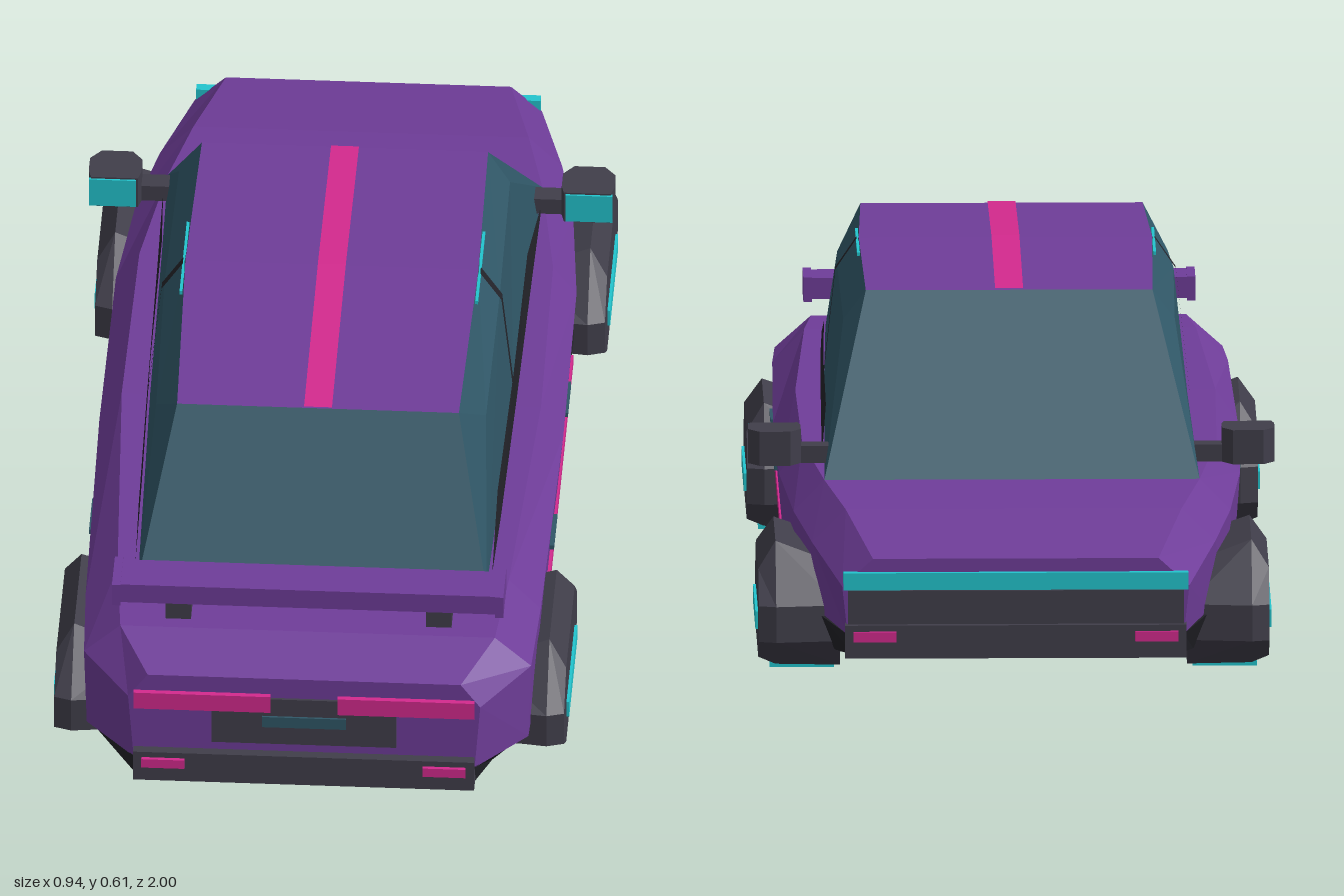
import * as THREE from 'three';

const mat = (name, color) => Object.assign(new THREE.MeshStandardMaterial({ color }), { name });

// Flat-faced geometry from a list of triangle corner points
function fromPoints(points) {
  const g = new THREE.BufferGeometry();
  g.setAttribute('position', new THREE.Float32BufferAttribute(points.flat(), 3));
  g.computeVertexNormals();
  return g;
}

// Quads between two matching rows of points
function sheet(a, b) {
  const out = [];
  for (let i = 0; i < a.length - 1; i++) out.push(a[i], a[i + 1], b[i + 1], a[i], b[i + 1], b[i]);
  return out;
}

// Closed hull through rings of points, capped at both ends
function loft(rings) {
  const out = [];
  for (let k = 0; k < rings.length - 1; k++) {
    out.push(...sheet([...rings[k], rings[k][0]], [...rings[k + 1], rings[k + 1][0]]));
  }
  const first = rings[0], last = rings[rings.length - 1];
  for (let i = 1; i < first.length - 1; i++) {
    out.push(first[0], first[i + 1], first[i], last[0], last[i], last[i + 1]);
  }
  return fromPoints(out);
}

const flip = ([x, y, z]) => [-x, y, z];

// Symmetric ring at depth z from its +x half, listed bottom to top
function ring(z, half) {
  const pts = half.map(([x, y]) => [x, y, z]);
  return [...pts, ...pts.map(flip).reverse()];
}

// Box given by its limits
function box(x0, x1, y0, y1, z0, z1) {
  return new THREE.BoxGeometry(x1 - x0, y1 - y0, z1 - z0)
    .translate((x0 + x1) / 2, (y0 + y1) / 2, (z0 + z1) / 2);
}

// Copy reflected in x with the corner order restored
function mirrored(geo) {
  const g = geo.index ? geo.toNonIndexed() : geo;
  const p = g.attributes.position, pts = [];
  for (let i = 0; i < p.count; i += 3) {
    for (const j of [i, i + 2, i + 1]) pts.push([-p.getX(j), p.getY(j), p.getZ(j)]);
  }
  return fromPoints(pts);
}

export function createModel() {
  const model = new THREE.Group();
  model.name = 'car';
  const paint = mat('purple paint', 0x6f3d99);
  const glass = mat('teal glass', 0x305767);
  const grey = mat('charcoal', 0x403e4a);
  const black = mat('black', 0x222228);
  const pink = mat('pink', 0xd42a8e);
  const cyan = mat('cyan', 0x22c5ce);

  const add = (name, geo, material) => {
    const m = new THREE.Mesh(geo, material);
    m.name = name;
    model.add(m);
  };
  const pair = (name, geo, material) => {
    add(name + 'Left', geo, material);
    add(name + 'Right', mirrored(geo), material);
  };

  // Body: z, then sill, belt and deck corners
  add('body', loft([
    [-0.975, [0.30, 0.11], [0.31, 0.20], [0.255, 0.25]],
    [-0.75, [0.35, 0.11], [0.36, 0.235], [0.30, 0.295]],
    [-0.57, [0.385, 0.11], [0.39, 0.255], [0.335, 0.312]],
    [-0.3, [0.40, 0.11], [0.412, 0.27], [0.37, 0.325]],
    [0.15, [0.40, 0.11], [0.415, 0.27], [0.375, 0.33]],
    [0.7, [0.40, 0.11], [0.407, 0.27], [0.35, 0.33]],
    [0.87, [0.395, 0.11], [0.40, 0.262], [0.335, 0.32]],
    [0.975, [0.305, 0.11], [0.315, 0.24], [0.28, 0.287]],
  ].map(([z, ...half]) => ring(z, half))), paint);

  // Underbody
  add('underbody', loft([
    [-0.975, [0.29, 0.075], [0.30, 0.112]],
    [-0.8, [0.32, 0.05], [0.345, 0.112]],
    [-0.4, [0.37, 0.05], [0.402, 0.112]],
    [0.6, [0.37, 0.05], [0.402, 0.112]],
    [0.86, [0.33, 0.05], [0.395, 0.112]],
    [0.975, [0.295, 0.065], [0.306, 0.112]],
  ].map(([z, ...half]) => ring(z, half))), black);

  // Cabin rows run from +z to -z along the +x side
  const base = [[0.312, 0.325, 0.73], [0.325, 0.325, 0.135], [0.335, 0.312, -0.57]];
  const shoulder = [[0.295, 0.52, 0.46], [0.30, 0.555, 0.135], [0.296, 0.54, -0.25]];
  const rail = [[0.252, 0.588, 0.555], [0.262, 0.611, 0.135], [0.256, 0.595, -0.262]];
  pair('sideGlass', fromPoints([
    ...sheet(base, shoulder), ...sheet(shoulder, rail),
    base[0], shoulder[0], rail[0], shoulder[2], base[2], rail[2],
  ]), glass);
  const up = [base[0], rail[0]], down = [rail[2], base[2]];
  add('tailGlass', fromPoints(sheet(up, up.map(flip))), glass);
  add('noseGlass', fromPoints(sheet(down, down.map(flip))), glass);
  add('roof', fromPoints(sheet(rail, rail.map(flip))), paint);
  const stripe = rail.map(([, y, z]) => [0.025, y + 0.003, z]);
  add('roofStripe', fromPoints(sheet(stripe, stripe.map(flip))), pink);
  pair('roofLight', box(0.262, 0.267, 0.602, 0.609, 0.01, 0.23), cyan);

  // Trim along the lower edge of the side glass, and the middle pillar
  const trimLow = [[0.319, 0.33, 0.68], [0.324, 0.33, 0.5], [0.330, 0.33, 0.135], [0.335, 0.33, -0.25], [0.339, 0.33, -0.5]];
  const trimTop = [[0.319, 0.33, 0.68], [0.318, 0.385, 0.5], [0.325, 0.39, 0.135], [0.327, 0.385, -0.25], [0.339, 0.33, -0.5]];
  pair('windowTrim', fromPoints(sheet(trimLow, trimTop)), black);
  const pillar = [base[1], shoulder[1], rail[1]];
  const shift = (dz) => pillar.map(([x, y]) => [x + 0.004, y, 0.135 + dz]);
  pair('pillar', fromPoints(sheet(shift(-0.01), shift(0.01))), black);

  // Side details
  pair('sideStripe', box(0.398, 0.407, 0.125, 0.147, -0.285, 0.43), pink);
  pair('doorGap', fromPoints(sheet(
    [[0.404, 0.11, 0.14], [0.404, 0.11, 0.12]],
    [[0.419, 0.27, 0.14], [0.419, 0.27, 0.12]])), black);
  for (const z of [0.40, -0.02]) {
    pair('doorHandle', box(0.408, 0.416, 0.228, 0.236, z - 0.05, z + 0.05), glass);
  }

  // Wheel pods: rings stepping outwards in x, with glowing plates
  for (const [name, zc] of [['tail', 0.63], ['nose', -0.61]]) {
    const podRing = (x, r, flat, bottom, top) => [
      [-r, 0.065], [-r, 0.13], [-flat, top], [flat, top],
      [r, 0.13], [r, 0.065], [flat, bottom], [-flat, bottom],
    ].map(([z, y]) => [x, y, zc + z]);
    pair(name + 'WheelPod', loft([
      podRing(0.31, 0.19, 0.12, 0.008, 0.19),
      podRing(0.425, 0.205, 0.11, 0.008, 0.232),
      podRing(0.456, 0.195, 0.13, 0.025, 0.185),
    ]), grey);
    pair(name + 'WheelLight', box(0.453, 0.461, 0.074, 0.106, zc - 0.122, zc + 0.122), cyan);
    pair(name + 'HoverPlate', box(0.32, 0.435, 0, 0.009, zc - 0.10, zc + 0.09), cyan);
  }

  // Bumpers with small lamps at both ends
  for (const [name, s] of [['tail', 1], ['nose', -1]]) {
    const end = (x0, x1, y0, y1, z0, z1) =>
      box(x0, x1, y0, y1, Math.min(s * z0, s * z1), Math.max(s * z0, s * z1));
    add(name + 'Bumper', end(-0.305, 0.305, 0.072, 0.132, 0.95, 0.993), grey);
    pair(name + 'BumperLamp', end(0.213, 0.29, 0.103, 0.121, 0.991, 1), pink);
  }

  // Lights and panels on the +z end
  pair('tailLight', box(0.06, 0.305, 0.22, 0.254, 0.972, 0.985), pink);
  add('tailPanel', box(-0.165, 0.165, 0.15, 0.22, 0.972, 0.98), grey);
  add('tailPanelTop', box(-0.06, 0.06, 0.22, 0.246, 0.972, 0.98), grey);
  add('numberPlate', box(-0.075, 0.075, 0.188, 0.21, 0.978, 0.984), glass);

  // Light bar and grille on the -z end
  add('lightBar', box(-0.308, 0.308, 0.195, 0.226, -0.986, -0.968), cyan);
  add('grille', box(-0.30, 0.30, 0.13, 0.193, -0.981, -0.972), grey);

  // Spoiler
  add('spoilerWing', box(-0.335, 0.335, 0.367, 0.405, 0.785, 0.865), paint);
  pair('spoilerEnd', box(0.335, 0.35, 0.363, 0.407, 0.78, 0.87), paint);
  pair('spoilerPost', box(0.21, 0.256, 0.315, 0.37, 0.80, 0.845), grey);

  // Mirrors: chamfered housings on stems
  const housing = (y, inset) => [
    [0.376 + inset, -0.44], [0.47 - inset, -0.44], [0.47, -0.46], [0.47, -0.50],
    [0.45, -0.525], [0.395, -0.525], [0.376, -0.50], [0.376, -0.46],
  ].map(([x, z]) => [x, y, z]);
  pair('mirror', loft([housing(0.329, 0.005), housing(0.391, 0.005)]), grey);
  pair('mirrorFace', box(0.384, 0.468, 0.332, 0.388, -0.444, -0.436), cyan);
  pair('mirrorStem', box(0.315, 0.39, 0.329, 0.36, -0.50, -0.462), grey);

  return model;
}
